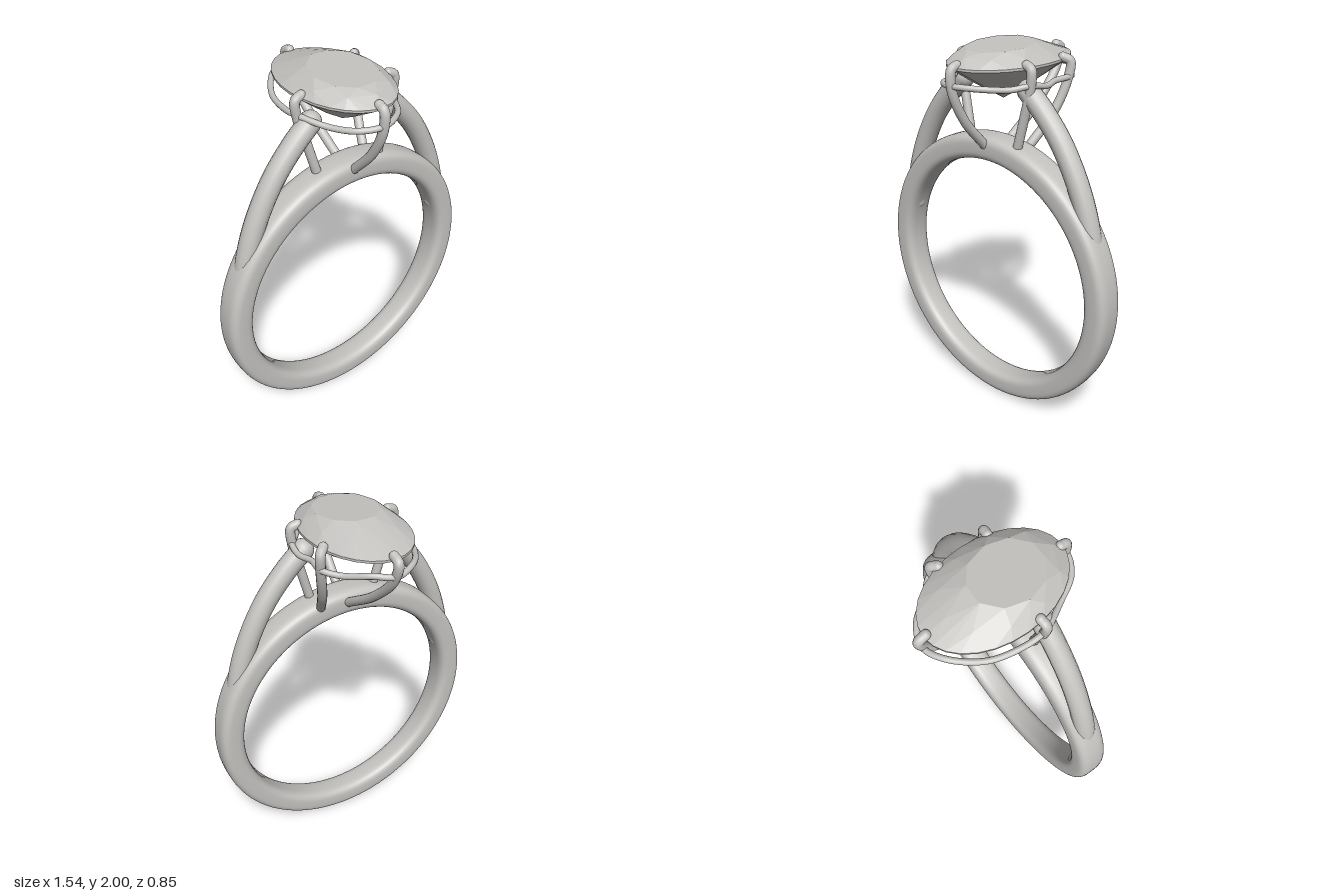
import * as THREE from 'three';
import { ConvexGeometry } from 'three/addons/geometries/ConvexGeometry.js';

const silver = new THREE.MeshStandardMaterial({ color: 0xc4c2bf });
silver.name = 'silver grey';

const V = (p) => new THREE.Vector3(...p);

function add(parent, name, geometry) {
  const mesh = new THREE.Mesh(geometry, silver);
  mesh.name = name;
  parent.add(mesh);
  return mesh;
}

// Round wire through points, with ball ends when open
function wire(parent, name, points, radius, closed = false) {
  const group = new THREE.Group();
  group.name = name;
  const curve = new THREE.CatmullRomCurve3(points.map(V), closed);
  add(group, name + 'Wire', new THREE.TubeGeometry(curve, closed ? 140 : 48, radius, 16, closed));
  if (!closed) {
    for (const p of [points[0], points[points.length - 1]]) {
      add(group, name + 'End', new THREE.SphereGeometry(radius, 16, 12)).position.set(...p);
    }
  }
  parent.add(group);
}

// Ring of points on a horizontal ellipse; y may depend on z
function oval(count, rx, rz, cx, cz, y, turn = 0) {
  return Array.from({ length: count }, (_, i) => {
    const a = ((i + turn) / count) * Math.PI * 2;
    const z = cz + rz * Math.cos(a);
    return new THREE.Vector3(cx + rx * Math.sin(a), typeof y === 'function' ? y(z) : y, z);
  });
}

// Band: rounded profile turned round the finger axis, a little wider at the top
function bandGeometry() {
  const profile = [];
  const soft = (v) => Math.sign(v) * Math.abs(v) ** 0.62;
  for (let i = 0; i <= 40; i++) {
    const a = -Math.PI + (i / 40) * Math.PI * 2;
    profile.push(new THREE.Vector2(0.7025 + 0.0675 * soft(Math.cos(a)), 0.08 * soft(Math.sin(a))));
  }
  const geometry = new THREE.LatheGeometry(profile, 128);
  geometry.rotateX(Math.PI / 2);
  const pos = geometry.attributes.position;
  for (let i = 0; i < pos.count; i++) {
    pos.setZ(i, pos.getZ(i) * (1.01 + 0.09 * pos.getY(i)));
  }
  return geometry;
}

// Faceted oval stone with an off-centre, slightly tilted table
function stoneGeometry() {
  return new ConvexGeometry([
    ...oval(10, 0.16, 0.19, 0, 0.07, (z) => 1.9925 - 0.0625 * z, 0.5),
    ...oval(10, 0.21, 0.29, 0, 0.03, 1.955),
    ...oval(28, 0.25, 0.372, 0, 0, 1.917),
    ...oval(28, 0.25, 0.372, 0, 0, 1.905),
    ...oval(8, 0.14, 0.2, 0.005, 0.03, 1.815, 0.5),
    V([0.01, 1.72, 0.06]),
  ]);
}

export function createModel() {
  const ring = new THREE.Group();
  ring.name = 'ring';

  add(ring, 'band', bandGeometry()).position.set(0, 0.77, 0.11);
  add(ring, 'stone', stoneGeometry());

  // Shoulders rising from the band to the setting
  for (const s of [1, -1]) {
    wire(ring, s > 0 ? 'leftShoulder' : 'rightShoulder', [
      [s * 0.645, 1.0, 0.11], [s * 0.605, 1.2, 0.11], [s * 0.54, 1.38, 0.11],
      [s * 0.43, 1.575, 0.11], [s * 0.31, 1.715, 0.11], [s * 0.215, 1.8, 0.11],
    ], 0.055);
  }

  // Five prongs, each hooked over the stone's edge
  const prongs = {
    frontProng: [[-0.015, 1.925, 0.355], [-0.015, 1.91, 0.39], [-0.015, 1.81, 0.39],
      [-0.012, 1.65, 0.315], [-0.01, 1.5, 0.185]],
    backProng: [[0, 1.925, -0.36], [0, 1.905, -0.4], [0, 1.8, -0.365],
      [0.005, 1.64, -0.205], [0.01, 1.49, 0.02]],
    leftFrontProng: [[0.225, 1.925, 0.135], [0.258, 1.91, 0.14], [0.255, 1.82, 0.14],
      [0.22, 1.68, 0.14], [0.175, 1.51, 0.14]],
    leftBackProng: [[0.23, 1.925, -0.13], [0.257, 1.905, -0.155], [0.25, 1.8, -0.14],
      [0.215, 1.65, -0.08], [0.165, 1.5, 0.035]],
    rightProng: [[-0.235, 1.925, 0.07], [-0.272, 1.91, 0.075], [-0.265, 1.82, 0.078],
      [-0.225, 1.68, 0.09], [-0.18, 1.51, 0.105]],
  };
  for (const [name, points] of Object.entries(prongs)) wire(ring, name, points, 0.024);

  // Wavy wire joining the prongs under the stone
  wire(ring, 'galleryWire', [
    [0, 1.835, -0.39], [0.1, 1.845, -0.345], [0.19, 1.82, -0.24], [0.26, 1.83, -0.16],
    [0.25, 1.825, -0.05], [0.272, 1.82, 0.04], [0.26, 1.835, 0.14], [0.2, 1.82, 0.22],
    [0.12, 1.83, 0.33], [-0.015, 1.835, 0.395], [-0.12, 1.825, 0.345], [-0.19, 1.815, 0.23],
    [-0.265, 1.835, 0.078], [-0.265, 1.825, -0.03], [-0.22, 1.82, -0.2], [-0.11, 1.845, -0.345],
  ], 0.015, true);

  return ring;
}
